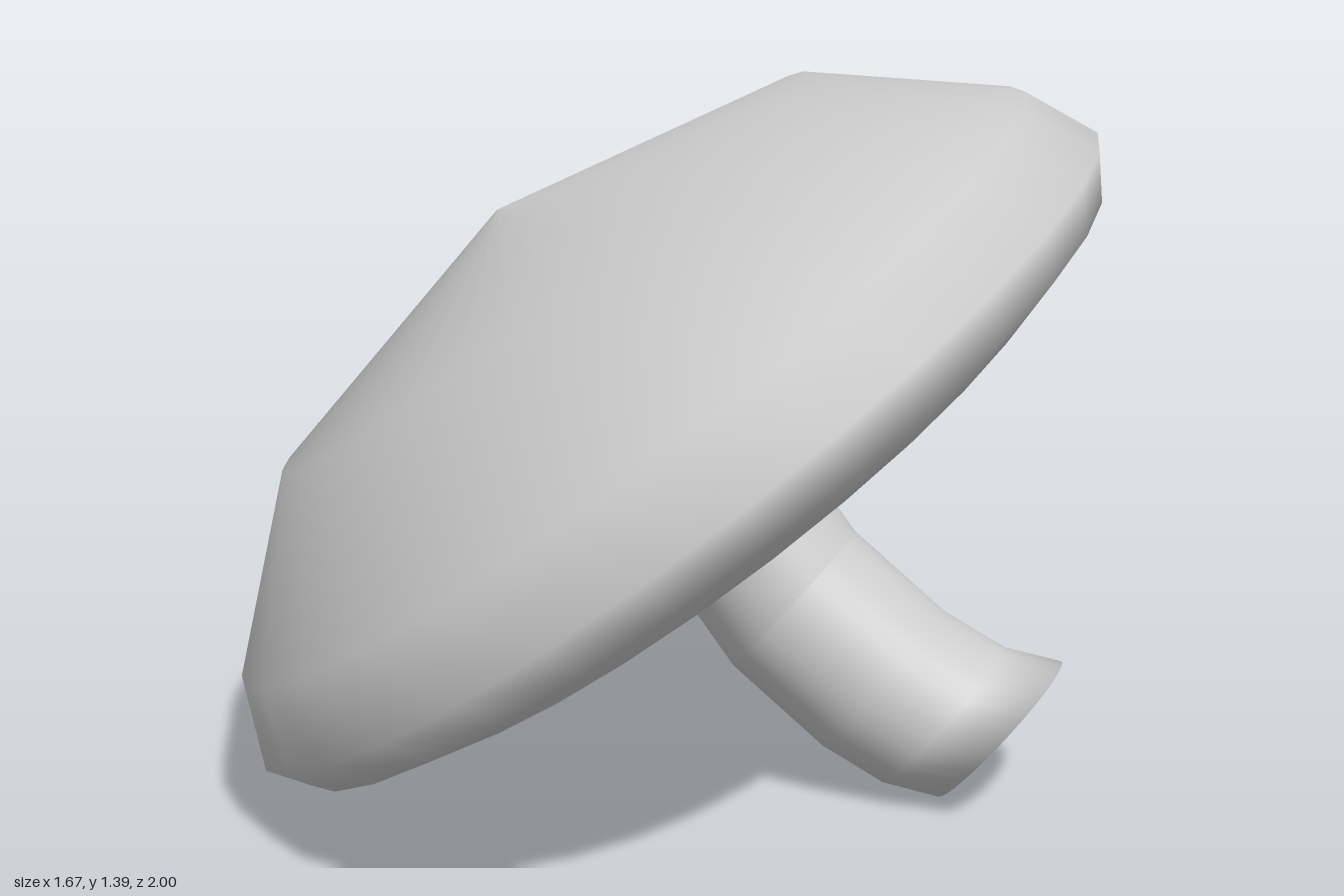
import * as THREE from 'three';

const material = new THREE.MeshStandardMaterial({ color: 0xcccccc, side: THREE.DoubleSide });
const SIDES = 32;

// Tube through parallel or turned rings; each ring is [x, y, dirX, dirY, halfWidth]
function ringTube(rings, halfDepth, closeEnd) {
  const positions = [], index = [];
  for (const [x, y, dx, dy, w] of rings) {
    for (let i = 0; i < SIDES; i++) {
      const a = (i / SIDES) * Math.PI * 2;
      const c = Math.cos(a) * w;
      positions.push(x + dx * c, y + dy * c, Math.sin(a) * halfDepth);
    }
  }
  for (let r = 0; r < rings.length - 1; r++) {
    for (let i = 0; i < SIDES; i++) {
      const a = r * SIDES + i, b = r * SIDES + (i + 1) % SIDES;
      index.push(a, a + SIDES, b, b, a + SIDES, b + SIDES);
    }
  }
  if (closeEnd) {
    const last = rings.length - 1, start = last * SIDES;
    positions.push(rings[last][0], rings[last][1], 0);
    for (let i = 0; i < SIDES; i++) {
      index.push(start + i, start + SIDES, start + (i + 1) % SIDES);
    }
  }
  // Outward winding: rings run down the stem, so flip every triangle
  for (let i = 0; i < index.length; i += 3) {
    [index[i + 1], index[i + 2]] = [index[i + 2], index[i + 1]];
  }
  const geometry = new THREE.BufferGeometry();
  geometry.setAttribute('position', new THREE.Float32BufferAttribute(positions, 3));
  geometry.setIndex(index);
  geometry.computeVertexNormals();
  return geometry;
}

function addPart(group, name, geometry) {
  const mesh = new THREE.Mesh(geometry, material);
  mesh.name = name;
  group.add(mesh);
  return mesh;
}

export function createModel() {
  const group = new THREE.Group();
  group.name = 'mushroom';

  // Cap: shallow dome with a rounded rim and a flat underside, leaning over
  const profile = [
    [0, -0.148], [0.8, -0.148], [0.96, -0.09], [1.01, -0.01],
    [0.945, 0.135], [0.635, 0.405], [0, 0.552],
  ].map(([r, h]) => new THREE.Vector2(r, h));
  const cap = addPart(group, 'cap', new THREE.LatheGeometry(profile, SIDES));
  const axis = new THREE.Vector3(-0.585, 0.8, 0.13).normalize();
  cap.quaternion.setFromUnitVectors(new THREE.Vector3(0, 1, 0), axis);
  cap.position.set(0, 0.69, 0);

  // Upper stem, running straight out of the underside
  addPart(group, 'upperStem', ringTube([
    [0.08, 0.61, 0.8, 0.6, 0.172],
    [0.255, 0.375, 0.65, 0.76, 0.178],
  ], 0.178, false));

  // Lower stem: equal parallel rings along a curve, closed at the foot
  const path = [[0.255, 0.375], [0.435, 0.225], [0.555, 0.16], [0.665, 0.14]];
  addPart(group, 'lowerStem', ringTube(
    path.map(([x, y]) => [x, y, 0.65, 0.76, 0.178]), 0.178, true));

  return group;
}
